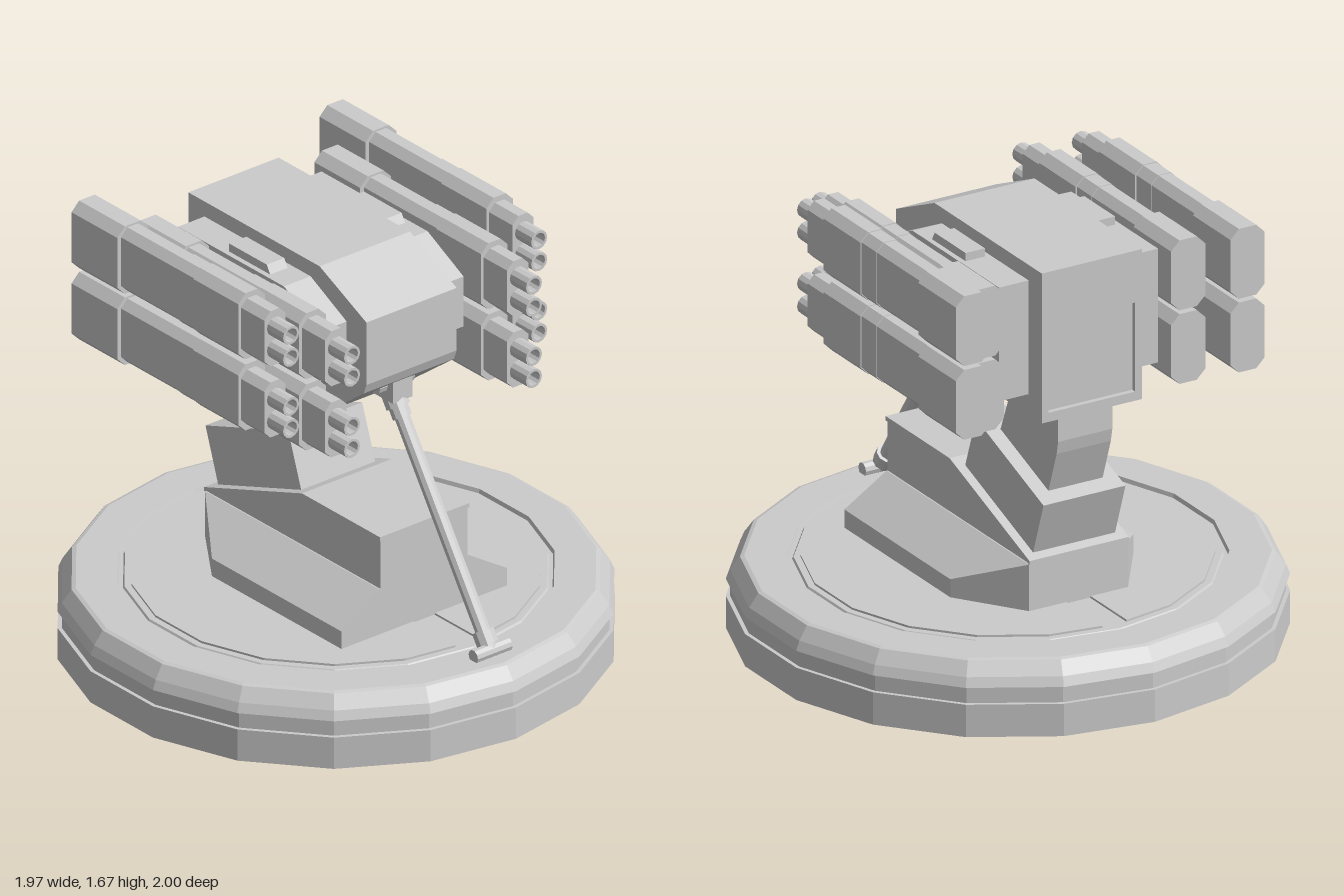
import * as THREE from 'three';
import { ConvexGeometry } from 'three/addons/geometries/ConvexGeometry.js';

const mat = new THREE.MeshStandardMaterial({ color: 0xcccccc, flatShading: true });
const V = (x, y, z) => new THREE.Vector3(x, y, z);

function add(parent, name, geo, x = 0, y = 0, z = 0) {
  const m = new THREE.Mesh(geo, mat);
  m.name = name;
  m.position.set(x, y, z);
  parent.add(m);
  return m;
}

const shapeOf = (pts) => new THREE.Shape(pts.map(([a, b]) => new THREE.Vector2(a, b)));
const extrude = (shape, depth) => new THREE.ExtrudeGeometry(shape, { depth, bevelEnabled: false });

// Side profile given as [z, y], extruded to a width centred on x = 0
function sideProfile(pts, width) {
  return extrude(shapeOf(pts), width).translate(0, 0, -width / 2).rotateY(-Math.PI / 2);
}

function lathe(pts, sides) {
  return new THREE.LatheGeometry(pts.map(([r, y]) => new THREE.Vector2(r, y)), sides);
}

// Cylinder between two points
function rod(parent, name, a, b, r, sides = 10) {
  const d = b.clone().sub(a);
  const m = add(parent, name, new THREE.CylinderGeometry(r, r, d.length(), sides));
  m.position.copy(a).lerp(b, 0.5);
  m.quaternion.setFromUnitVectors(V(0, 1, 0), d.normalize());
  return m;
}

// Octagonal outline: a rectangle with cut corners
function octagon(w, h, c) {
  return shapeOf([[w, -h + c], [w, h - c], [w - c, h], [-w + c, h],
    [-w, h - c], [-w, -h + c], [-w + c, -h], [w - c, -h]]);
}

function makeBase() {
  const g = new THREE.Group();
  g.name = 'base';
  // Eighteen-sided turntable with side groove and ring groove on top
  add(g, 'turntable', lathe([[0, 0], [1, 0], [1, 0.125], [0.985, 0.125], [0.985, 0.19], [1, 0.19],
    [0.985, 0.225], [0.95, 0.275], [0.935, 0.28], [0.785, 0.28], [0.78, 0.265], [0.765, 0.265],
    [0.76, 0.272], [0, 0.272]], 18));
  // Two floor plates with a channel between them
  for (const s of [1, -1]) {
    const pts = [[0.05, 0.725]];
    for (let i = 1; i < 9; i++) {
      const a = (i * Math.PI) / 9;
      pts.push([0.735 * Math.sin(a), 0.735 * Math.cos(a)]);
    }
    pts.push([0.05, -0.725]);
    const geo = extrude(shapeOf(pts.map(([x, z]) => [s * x, z])), 0.012).rotateX(-Math.PI / 2);
    add(g, 'floorPlate', geo, 0, 0.268, 0);
  }
  return g;
}

function makePedestal() {
  const g = new THREE.Group();
  g.name = 'pedestal';
  // Sloping skirt, cut off at the rear corners
  const pts = [];
  for (const s of [1, -1]) {
    pts.push(V(s * 0.38, 0.275, 0.49), V(s * 0.38, 0.35, 0.49), V(s * 0.205, 0.46, 0.49),
      V(s * 0.38, 0.275, -0.23), V(s * 0.38, 0.35, -0.23),
      V(s * 0.205, 0.46, -0.48), V(s * 0.205, 0.275, -0.48));
  }
  add(g, 'skirt', new ConvexGeometry(pts));
  add(g, 'pedestalBlock', sideProfile([[0.49, 0.45], [0.49, 0.66], [0.06, 0.66], [-0.48, 0.465], [-0.48, 0.45]], 0.4));
  add(g, 'pedestalCap', sideProfile([[0.494, 0.67], [0.06, 0.67], [-0.484, 0.475],
    [-0.484, 0.459], [0.06, 0.653], [0.494, 0.653]], 0.412));
  // Leaning two-stage neck
  add(g, 'lowerNeck', sideProfile([[-0.06, 0.86], [-0.52, 0.695], [-0.44, 0.46], [0.02, 0.63]], 0.34));
  add(g, 'upperNeck', sideProfile([[-0.19, 1.06], [-0.2, 1.0], [-0.12, 0.8], [-0.45, 0.69],
    [-0.515, 0.88], [-0.525, 0.93], [-0.525, 1.06]].reverse(), 0.225));
  return g;
}

function makeBody() {
  const g = new THREE.Group();
  g.name = 'body';
  add(g, 'housing', sideProfile([[-0.55, 1.04], [0.18, 1.04], [0.405, 1.21], [0.42, 1.25],
    [0.42, 1.5], [0.16, 1.62], [-0.55, 1.62]], 0.415));
  // Rear frame around a recessed hatch
  const frame = shapeOf([[-0.2075, 1.04], [0.2075, 1.04], [0.2075, 1.62], [-0.2075, 1.62]]);
  frame.holes.push(new THREE.Path([[-0.18, 1.075], [-0.18, 1.42], [0.18, 1.42], [0.18, 1.075]]
    .map(([x, y]) => new THREE.Vector2(x, y))));
  add(g, 'rearFrame', extrude(frame, 0.02), 0, 0, -0.57);
  for (const s of [1, -1]) {
    add(g, 'sideHousing', sideProfile([[-0.48, 1.12], [0.14, 1.12], [0.31, 1.26], [0.31, 1.46],
      [0.11, 1.56], [-0.48, 1.56]], 0.14), s * 0.26, 0, 0);
    add(g, 'topVent', sideProfile([[-0.22, 1.55], [0.015, 1.55], [-0.01, 1.592], [-0.22, 1.592]], 0.08), s * 0.27, 0, 0);
    // Arm carrying the launcher pods
    for (const y of [1.24, 1.45]) add(g, 'podArm', new THREE.BoxGeometry(0.26, 0.06, 0.2), s * 0.44, y, -0.13);
  }
  return g;
}

// One pod: stepped octagonal casing with two open tubes
function makePod() {
  const g = new THREE.Group();
  g.name = 'launcherPod';
  const sections = [
    ['rearCasing', -0.695, -0.44, 0.071, 0.135, 0.035],
    ['middleCasing', -0.45, -0.13, 0.054, 0.127, 0.03],
    ['middleCasing', -0.13, -0.02, 0.056, 0.129, 0.03],
    ['frontCasing', -0.03, 0.22, 0.061, 0.132, 0.033],
    ['noseCasing', 0.21, 0.35, 0.049, 0.11, 0.028],
  ];
  for (const [name, z0, z1, w, h, c] of sections) add(g, name, extrude(octagon(w, h, c), z1 - z0), 0, 0, z0);
  for (const y of [0.044, -0.044]) {
    const tube = lathe([[0.037, 0], [0.037, 0.1], [0.027, 0.1], [0.027, 0.02], [0, 0.02]], 12).rotateX(Math.PI / 2);
    add(g, 'launchTube', tube, 0, y, 0.34);
  }
  return g;
}

function makeStrut() {
  const g = new THREE.Group();
  g.name = 'supportStrut';
  const a = V(0, 0.3, 0.855), b = V(0, 1.15, 0.29);
  const at = (t) => a.clone().lerp(b, t);
  rod(g, 'strutRod', a, b, 0.029);
  rod(g, 'lowerCollar', at(0.02), at(0.07), 0.042);
  rod(g, 'upperCollar', at(0.86), at(0.92), 0.037);
  rod(g, 'upperSocket', at(0.9), at(1), 0.046);
  rod(g, 'lowerPivot', V(-0.08, 0.298, 0.86), V(0.08, 0.298, 0.86), 0.026);
  rod(g, 'upperPivot', V(-0.08, 1.16, 0.31), V(0.08, 1.16, 0.31), 0.033);
  add(g, 'upperBracket', new THREE.BoxGeometry(0.09, 0.1, 0.12), 0, 1.15, 0.31);
  return g;
}

export function createModel() {
  const model = new THREE.Group();
  model.name = 'turret';
  model.add(makeBase(), makePedestal(), makeBody(), makeStrut());
  // Two stacked pairs of pods each side, the inner pair lower and further forward
  for (const s of [1, -1]) {
    for (const [x, y, z] of [[0.57, 1.535, 0], [0.57, 1.25, 0], [0.418, 1.467, 0.155], [0.418, 1.182, 0.155]]) {
      const pod = makePod();
      pod.position.set(s * x, y, z);
      model.add(pod);
    }
  }
  return model;
}
